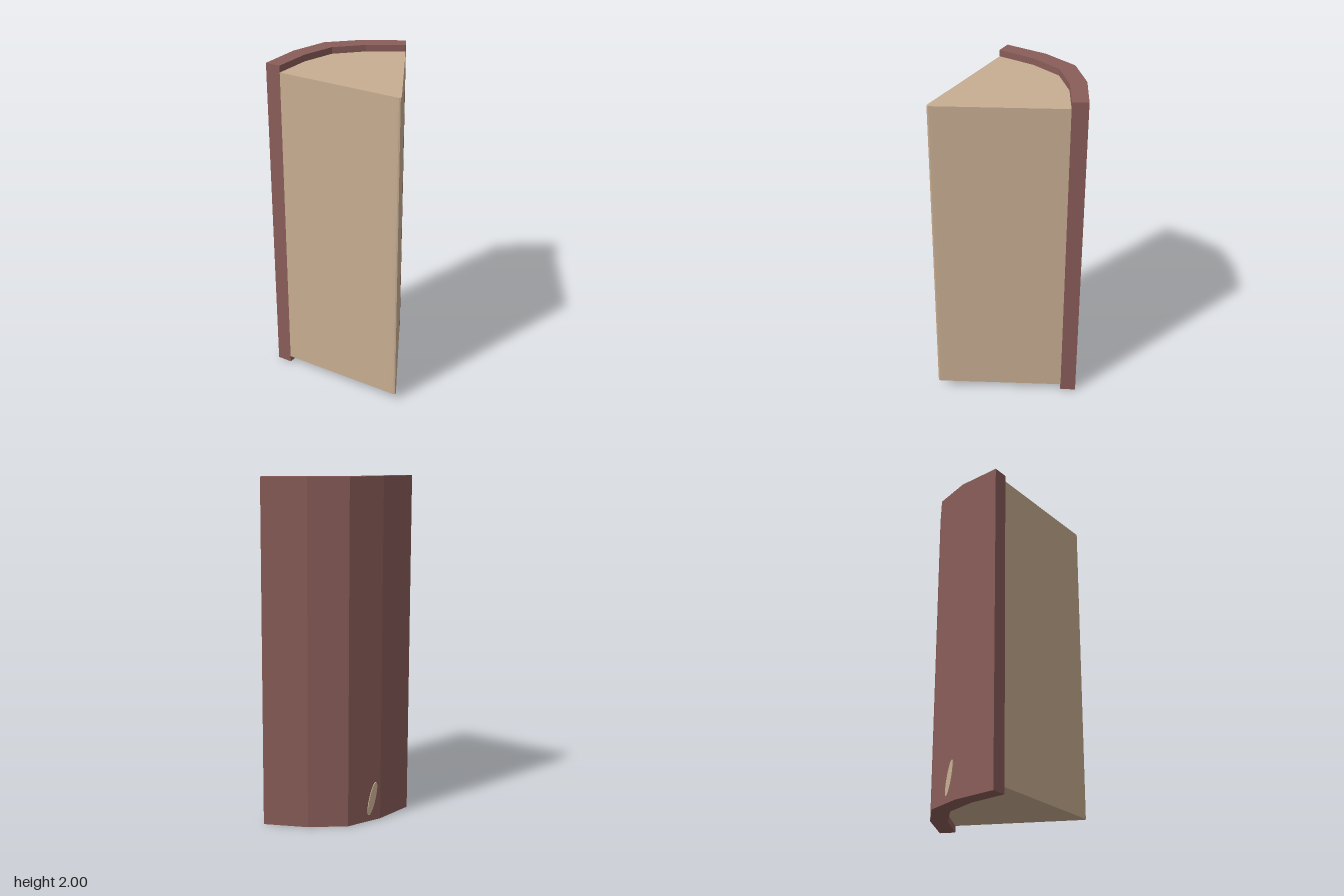
import * as THREE from 'three';

const tan = new THREE.MeshStandardMaterial({ color: 0xc8ae92 });
tan.name = 'paper tan';
const maroon = new THREE.MeshStandardMaterial({ color: 0x8a5d59 });
maroon.name = 'maroon cover';

// Right halves of the arcs, as [x, z] from the centre line outwards
const outerArc = [[0, -0.467], [0.225, -0.405], [0.452, -0.275]];
const innerArc = [[0, -0.36], [0.2, -0.307], [0.404, -0.195]];
const tip = [[0.018, 0.445], [0.008, 0.46], [0, 0.465]];

const mirror = (pts) => pts.map(([x, z]) => [-x, z]);
// Full arc running from -x to +x
const fullArc = (half) => [...mirror(half.slice(1)).reverse(), ...half];

// Upright prism from a plan outline in x and z
function prism(name, outline, y0, y1, material) {
  const shape = new THREE.Shape(outline.map(([x, z]) => new THREE.Vector2(x, -z)));
  const geo = new THREE.ExtrudeGeometry(shape, { depth: y1 - y0, bevelEnabled: false });
  geo.rotateX(-Math.PI / 2);
  geo.translate(0, y0, 0);
  const mesh = new THREE.Mesh(geo, material);
  mesh.name = name;
  return mesh;
}

export function createModel() {
  const group = new THREE.Group();
  group.name = 'wedge';

  // Wedge body with a slightly rounded front tip
  const body = [...fullArc(innerArc), ...tip, ...mirror(tip.slice(0, 2)).reverse()];
  group.add(prism('wedgeBody', body, 0.04, 1.96, tan));

  // Faceted curved back, standing proud at top, bottom and sides
  const shell = [...fullArc(outerArc), ...fullArc(innerArc).reverse()];
  group.add(prism('curvedBack', shell, 0, 2, maroon));

  // Slanted oval mark low on one back facet
  const oval = new THREE.Shape();
  oval.absellipse(0, 0, 0.022, 0.1, 0, Math.PI * 2, false, 0);
  const geo = new THREE.ExtrudeGeometry(oval, { depth: 0.006, bevelEnabled: false, curveSegments: 16 });
  geo.rotateZ(-0.26);
  const mark = new THREE.Mesh(geo, tan);
  mark.name = 'ovalMark';
  mark.position.set(-0.166, 0.135, -0.421);
  mark.rotation.y = Math.atan2(-0.062, -0.225);
  group.add(mark);

  return group;
}
